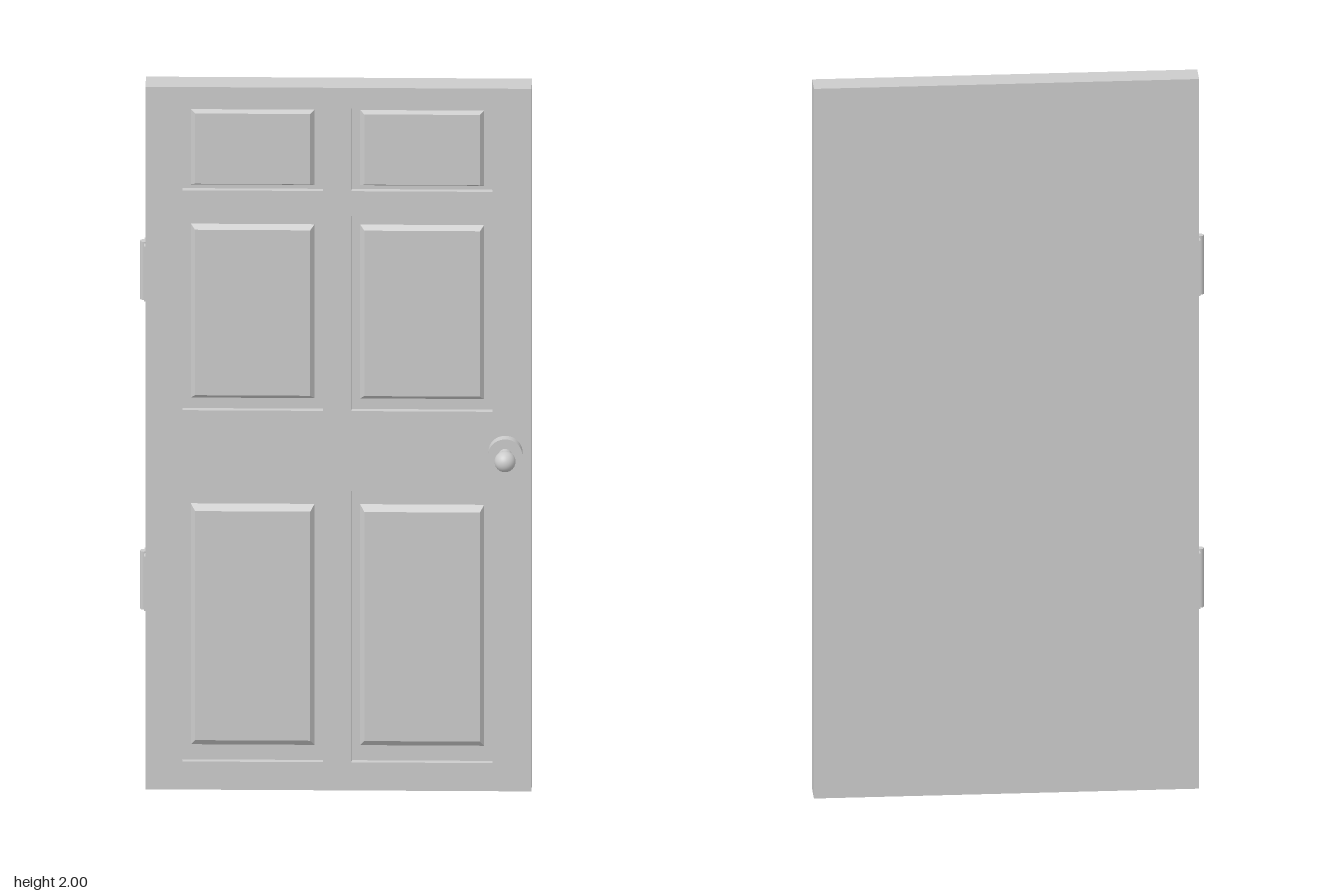
import * as THREE from 'three';

const material = new THREE.MeshStandardMaterial({ color: 0xcccccc });

const BACK = -0.084, FRONT = -0.014, DEPTH = 0.015;
const LEFT = -0.5, RIGHT = 0.515, HEIGHT = 2;

// Recess columns [x0, x1] and rows [y0, y1, vertical gap to the raised field, bevel height]
const columns = [[-0.403, -0.034], [0.042, 0.412]];
const rows = [[0.08, 0.852, 0.043, 0.017], [1.08, 1.635, 0.03, 0.012], [1.706, 1.942, 0.011, 0.007]];

function add(parent, name, geometry, x = 0, y = 0, z = 0) {
  const mesh = new THREE.Mesh(geometry, material);
  mesh.name = name;
  mesh.position.set(x, y, z);
  parent.add(mesh);
  return mesh;
}

function rectangle(path, x0, y0, x1, y1) {
  path.moveTo(x0, y0);
  path.lineTo(x1, y0);
  path.lineTo(x1, y1);
  path.lineTo(x0, y1);
  path.closePath();
  return path;
}

// Box whose front face is drawn in to give sloping sides
function raisedField(w, h, d, bevelX, bevelY) {
  const geometry = new THREE.BoxGeometry(w, h, d);
  const p = geometry.attributes.position;
  for (let i = 0; i < p.count; i++) {
    if (p.getZ(i) < 0) continue;
    p.setX(i, p.getX(i) - Math.sign(p.getX(i)) * bevelX);
    p.setY(i, p.getY(i) - Math.sign(p.getY(i)) * bevelY);
  }
  geometry.computeVertexNormals();
  return geometry;
}

export function createModel() {
  const door = new THREE.Group();
  door.name = 'door';

  // Solid back of the door
  const slabDepth = FRONT - DEPTH - BACK;
  add(door, 'slab', new THREE.BoxGeometry(RIGHT - LEFT, HEIGHT, slabDepth),
    (LEFT + RIGHT) / 2, HEIGHT / 2, BACK + slabDepth / 2);

  // Front frame with six openings, each holding a raised field
  const frame = rectangle(new THREE.Shape(), LEFT, 0, RIGHT, HEIGHT);
  for (const [x0, x1] of columns) {
    for (const [y0, y1, gapY, bevelY] of rows) {
      frame.holes.push(rectangle(new THREE.Path(), x0, y0, x1, y1));
      const d = DEPTH - 0.002;
      add(door, 'raisedPanel', raisedField(x1 - x0 - 0.044, y1 - y0 - 2 * gapY, d, 0.011, bevelY),
        (x0 + x1) / 2, (y0 + y1) / 2, FRONT - DEPTH + d / 2);
    }
  }
  add(door, 'frame', new THREE.ExtrudeGeometry(frame, { depth: DEPTH, bevelEnabled: false }),
    0, 0, FRONT - DEPTH);

  // Knob: rosette, neck and ball
  const knob = new THREE.Group();
  knob.name = 'knob';
  knob.position.set(0.446, 0.967, FRONT);
  door.add(knob);
  add(knob, 'rosette', new THREE.CylinderGeometry(0.045, 0.045, 0.025, 40), 0, 0, 0.0125).rotation.x = Math.PI / 2;
  add(knob, 'neck', new THREE.CylinderGeometry(0.018, 0.018, 0.04, 32), 0, 0, 0.035).rotation.x = Math.PI / 2;
  add(knob, 'ball', new THREE.SphereGeometry(0.028, 32, 20), 0, 0, 0.068);

  // Hinges on the right-hand edge
  for (const y of [0.583, 1.465]) {
    const hinge = new THREE.Group();
    hinge.name = 'hinge';
    hinge.position.set(LEFT, y, -0.05);
    door.add(hinge);
    add(hinge, 'leaf', new THREE.BoxGeometry(0.008, 0.156, 0.062), 0, 0, 0);
    add(hinge, 'pin', new THREE.CylinderGeometry(0.01, 0.01, 0.165, 24), -0.005, 0, 0);
  }

  return door;
}
